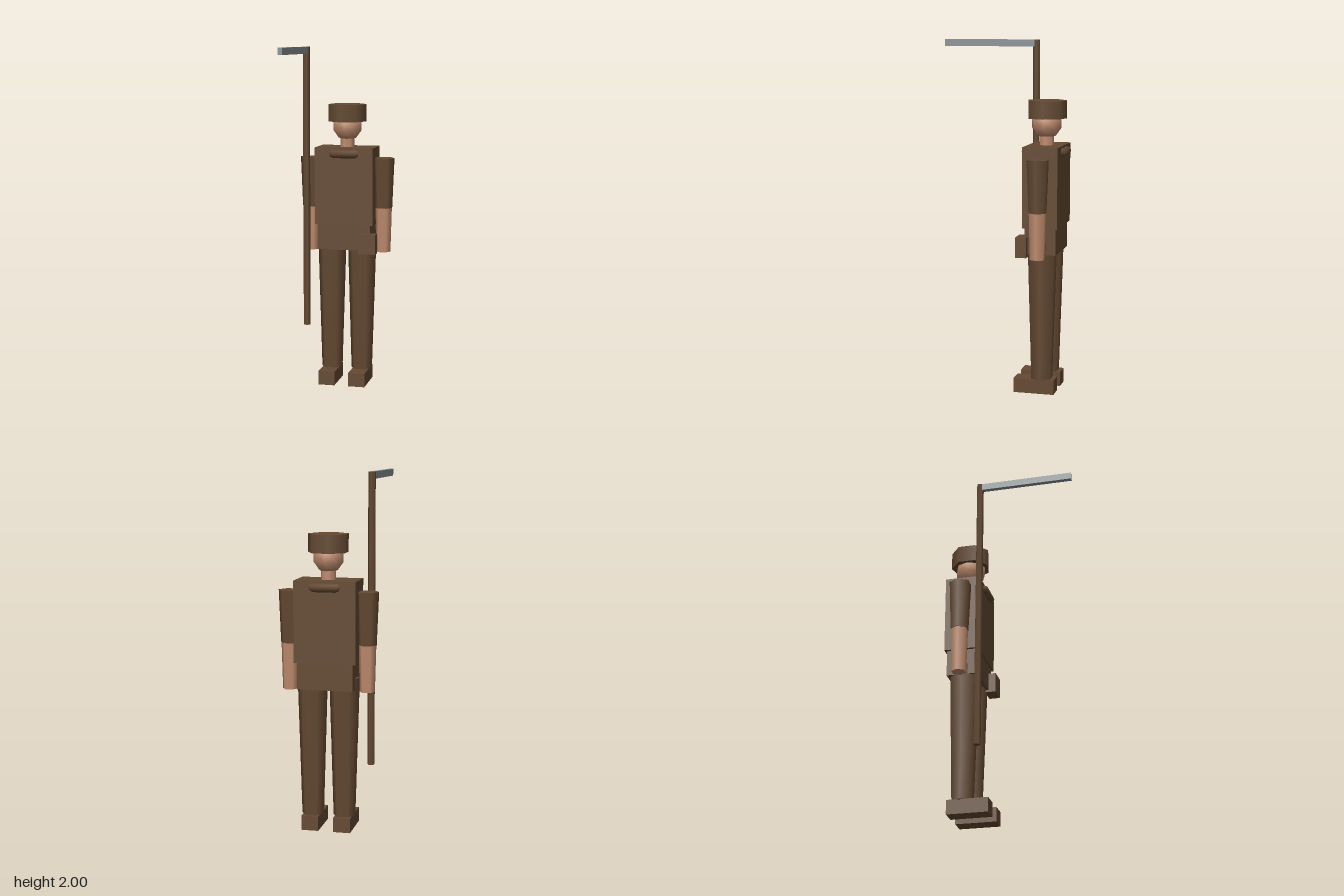
import * as THREE from 'three';

const cloth = new THREE.MeshStandardMaterial({ name: 'brown cloth', color: 0x654a33 });
const skin = new THREE.MeshStandardMaterial({ name: 'skin', color: 0xc08c6e });
const steel = new THREE.MeshStandardMaterial({ name: 'grey steel', color: 0x8b9397 });

const BODY_Z = -0.268; // the figure stands behind the origin, the blade reaches forward

export function createModel() {
  const model = new THREE.Group();
  model.name = 'scytheBearer';

  const add = (name, geometry, material, x, y, z) => {
    const mesh = new THREE.Mesh(geometry, material);
    mesh.name = name;
    mesh.position.set(x, y, z);
    model.add(mesh);
    return mesh;
  };
  // box given by its lower and upper corners
  const box = (name, material, [x0, y0, z0], [x1, y1, z1]) =>
    add(name, new THREE.BoxGeometry(x1 - x0, y1 - y0, z1 - z0), material,
      (x0 + x1) / 2, (y0 + y1) / 2, (z0 + z1) / 2);
  // upright tapered prism with a corner pointing to +x
  const post = (name, material, rTop, rBottom, y0, y1, sides, x = 0, z = BODY_Z) =>
    add(name, new THREE.CylinderGeometry(rTop, rBottom, y1 - y0, sides).rotateY(Math.PI / 2),
      material, x, (y0 + y1) / 2, z);

  // trunk
  box('torso', cloth, [-0.174, 0.96, -0.369], [0.174, 1.415, -0.168]);
  box('hips', cloth, [-0.157, 0.81, -0.357], [0.157, 0.96, -0.179]);
  add('collar', new THREE.TorusGeometry(0.122, 0.0245, 8, 6).rotateX(Math.PI / 2),
    cloth, 0, 1.38, BODY_Z);
  box('pouch', cloth, [0.096, 0.796, -0.198], [0.197, 0.912, -0.136]);

  // head
  post('neck', skin, 0.042, 0.042, 1.4, 1.49, 7);
  add('head', new THREE.SphereGeometry(0.09, 8, 5), skin, 0, 1.541, BODY_Z);
  post('hat', cloth, 0.114, 0.114, 1.565, 1.666, 7);

  // limbs, mirrored
  for (const [side, s] of [['left', 1], ['right', -1]]) {
    post(side + 'Sleeve', cloth, 0.064, 0.052, 1.058, 1.353, 6, s * 0.22);
    post(side + 'Forearm', skin, 0.05, 0.043, 0.796, 1.058, 6, s * 0.22);
    post(side + 'Leg', cloth, 0.087, 0.063, 0.08, 0.872, 6, s * 0.091);
    box(side + 'Shoe', cloth, [s * 0.0915 - 0.049, 0, -0.347], [s * 0.0915 + 0.049, 0.082, -0.113]);
  }

  // scythe
  post('scythePole', cloth, 0.0215, 0.0215, 0.354, 2, 5, -0.22, -0.158);
  box('scytheBlade', steel, [-0.233, 1.96, -0.157], [-0.207, 2.0, 0.394]);

  return model;
}
